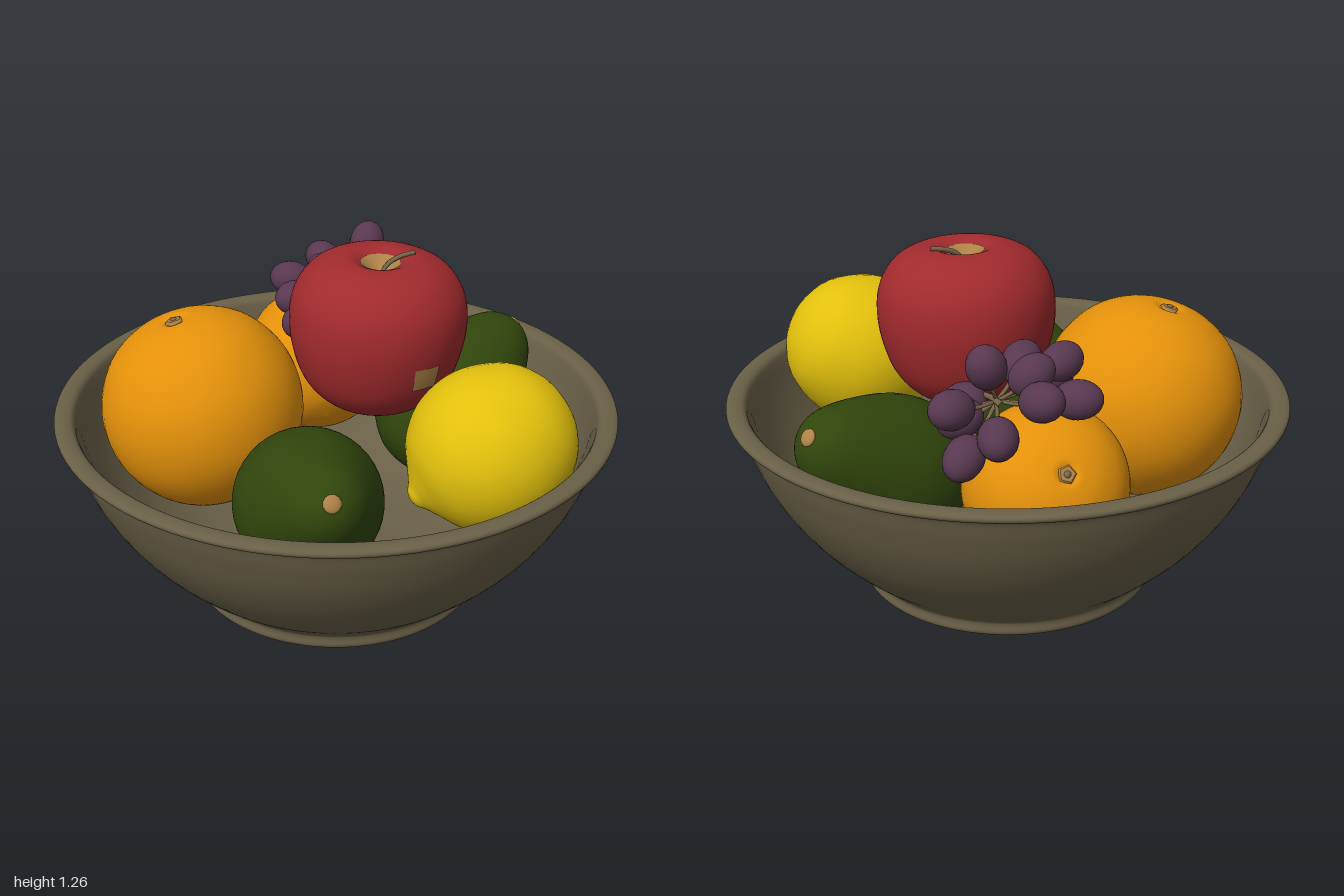
import * as THREE from 'three';

const mat = (name, color, side = THREE.FrontSide) => {
  const m = new THREE.MeshStandardMaterial({ color, side });
  m.name = name;
  return m;
};
const V = (a) => new THREE.Vector3(...a);
const UP = new THREE.Vector3(0, 1, 0);

// Smooth profile through [radius, y] points, listed from the bottom up
const profile = (pts, n = 40) =>
  new THREE.SplineCurve(pts.map(([x, y]) => new THREE.Vector2(x, y)))
    .getPoints(n).map((p) => p.set(Math.max(0, p.x), p.y));

export function createModel() {
  const model = new THREE.Group();
  model.name = 'fruitBowl';
  const M = {
    clay: mat('clay', 0x6a6048),
    orange: mat('orange peel', 0xe4910a),
    apple: mat('apple red', 0xa12a2d),
    avocado: mat('avocado green', 0x31460c),
    lemon: mat('lemon yellow', 0xe2c00c),
    grape: mat('grape purple', 0x583850),
    tan: mat('tan blemish', 0xae8248, THREE.DoubleSide),
    stem: mat('stem brown', 0x7a6848),
  };

  const add = (parent, name, geometry, material) => {
    const mesh = new THREE.Mesh(geometry, material);
    mesh.name = name;
    parent.add(mesh);
    return mesh;
  };
  // Group whose local y axis points along dir
  const fruit = (name, pos, dir) => {
    const g = new THREE.Group();
    g.name = name;
    g.position.set(...pos);
    g.quaternion.setFromUnitVectors(UP, V(dir).normalize());
    model.add(g);
    return g;
  };
  const tube = (parent, name, pts, r) =>
    add(parent, name, new THREE.TubeGeometry(new THREE.CatmullRomCurve3(pts.map(V)), 10, r, 6), M.stem);

  // Bowl: recessed underside, foot ring, flared wall, rolled rim, inside
  const bowl = [
    [0, 0.065], [0.44, 0.06], [0.475, 0.045], [0.49, 0.01], [0.5, 0], [0.53, 0.005], [0.54, 0.02],
    [0.538, 0.045], [0.545, 0.065], [0.582, 0.1], [0.652, 0.16], [0.745, 0.255], [0.825, 0.36], [0.89, 0.475],
    [0.935, 0.59], [0.957, 0.665], [0.975, 0.68], [0.995, 0.69], [1, 0.703], [0.99, 0.714], [0.96, 0.717],
    [0.935, 0.708], [0.92, 0.675], [0.89, 0.58], [0.835, 0.46], [0.76, 0.345], [0.66, 0.235],
    [0.53, 0.15], [0.38, 0.11], [0.2, 0.1], [0, 0.1],
  ];
  add(model, 'bowl', new THREE.LatheGeometry(profile(bowl, 150), 96), M.clay);

  // Oranges: a slightly flattened ball with a dimpled stem end and button
  const orangeProfile = profile([
    [0, -0.98], [0.38, -0.92], [0.71, -0.7], [0.93, -0.36], [1, 0], [0.94, 0.36],
    [0.74, 0.69], [0.46, 0.89], [0.2, 0.965], [0.09, 0.945], [0, 0.92],
  ], 48);
  for (const [name, r, pos, dir] of [
    ['largeOrange', 0.362, [-0.477, 0.672, 0.05], [-0.27, 1, 0.02]],
    ['smallOrange', 0.278, [-0.157, 0.6, -0.548], [-0.28, 0.53, -0.78]],
  ]) {
    const g = fruit(name, pos, dir);
    add(g, 'peel', new THREE.LatheGeometry(orangeProfile, 48), M.orange).scale.setScalar(r);
    add(g, 'calyx', new THREE.CylinderGeometry(0.027, 0.036, 0.012, 5), M.tan).position.y = r * 0.955;
    add(g, 'button', new THREE.SphereGeometry(0.014, 8, 6), M.stem).position.y = r * 0.955;
  }

  // Apple with a tan stem hollow and a blemish on its side
  const appleProfile = profile([
    [0, -0.235], [0.06, -0.262], [0.13, -0.27], [0.2, -0.235], [0.26, -0.165], [0.296, -0.07], [0.312, 0.04],
    [0.299, 0.14], [0.252, 0.217], [0.185, 0.258], [0.115, 0.27], [0.07, 0.25], [0.03, 0.215], [0, 0.2],
  ], 64);
  const apple = fruit('apple', [0.142, 0.98, -0.035], [0.03, 1, 0.01]);
  add(apple, 'appleSkin', new THREE.LatheGeometry(appleProfile, 56), M.apple);
  const hollow = appleProfile.filter((p) => p.y > 0 && p.x < 0.075);
  add(apple, 'stemHollow', new THREE.LatheGeometry(hollow, 24), M.tan).position.y = 0.004;
  const side = appleProfile.filter((p) => p.x > 0.2 && p.y > -0.115 && p.y < 0);
  add(apple, 'blemish', new THREE.LatheGeometry(side, 8, 0.55, 0.32), M.tan).scale.setScalar(1.012);
  tube(apple, 'appleStem', [[0, 0.19, 0], [0.02, 0.24, -0.01], [0.06, 0.265, -0.035], [0.11, 0.275, -0.06]], 0.009);

  // Avocados: blunt egg shapes narrowing to the stem end
  const avocadoProfile = profile([
    [0, -0.27], [0.1, -0.25], [0.2, -0.17], [0.25, -0.07], [0.258, 0.01],
    [0.245, 0.1], [0.21, 0.2], [0.165, 0.3], [0.115, 0.385], [0.06, 0.43], [0, 0.445],
  ]);
  for (const [name, pos, dir] of [
    ['frontAvocado', [-0.035, 0.53, 0.42], [0.095, 0.155, 0.25]],
    ['backAvocado', [0.365, 0.535, -0.33], [0.15, 0.15, -0.175]],
  ]) {
    const g = fruit(name, pos, dir);
    add(g, 'avocadoSkin', new THREE.LatheGeometry(avocadoProfile, 40), M.avocado);
    const scar = add(g, 'stemScar', new THREE.SphereGeometry(0.031, 12, 8), M.tan);
    scar.scale.y = 0.4;
    scar.position.y = 0.442;
  }

  // Lemon, its nipple pointing down towards the bowl centre
  const lemonProfile = profile([
    [0, -0.29], [0.1, -0.272], [0.2, -0.205], [0.265, -0.09], [0.282, 0.02],
    [0.255, 0.135], [0.185, 0.225], [0.1, 0.275], [0.055, 0.3], [0.03, 0.32], [0, 0.328],
  ]);
  const lemon = fruit('lemon', [0.572, 0.73, 0.302], [-0.8, -0.5, 0.38]);
  add(lemon, 'lemonPeel', new THREE.LatheGeometry(lemonProfile, 40), M.lemon);

  // Grapes on thin stalks spreading from a curved main stem
  const bunch = new THREE.Group();
  bunch.name = 'grapeBunch';
  model.add(bunch);
  tube(bunch, 'mainStem', [[0.12, 0.72, -0.3], [0.1, 0.84, -0.4], [0.03, 0.9, -0.52], [-0.02, 0.91, -0.62]], 0.011);
  const grapeGeo = new THREE.SphereGeometry(0.066, 20, 14).scale(1, 1.25, 1);
  const hub = [0, 0.9, -0.56];
  for (const p of [
    [-0.02, 0.87, -0.785], [0.09, 0.78, -0.74], [0.13, 0.93, -0.71], [-0.15, 0.96, -0.7],
    [0.025, 1.055, -0.66], [-0.26, 0.92, -0.58], [-0.11, 0.98, -0.53], [0.11, 0.86, -0.48],
    [0.12, 0.83, -0.55], [-0.07, 0.98, -0.42], [-0.2, 0.95, -0.33], [-0.17, 0.88, -0.28],
  ]) {
    const grape = add(bunch, 'grape', grapeGeo, M.grape);
    grape.position.set(...p);
    grape.quaternion.setFromUnitVectors(UP, V(p).sub(V(hub)).normalize());
    const mid = [p[0] * 0.5, (p[1] + hub[1]) / 2 - 0.01, (p[2] + hub[2]) / 2];
    tube(bunch, 'stalk', [hub, mid, p], 0.007);
  }
  return model;
}
